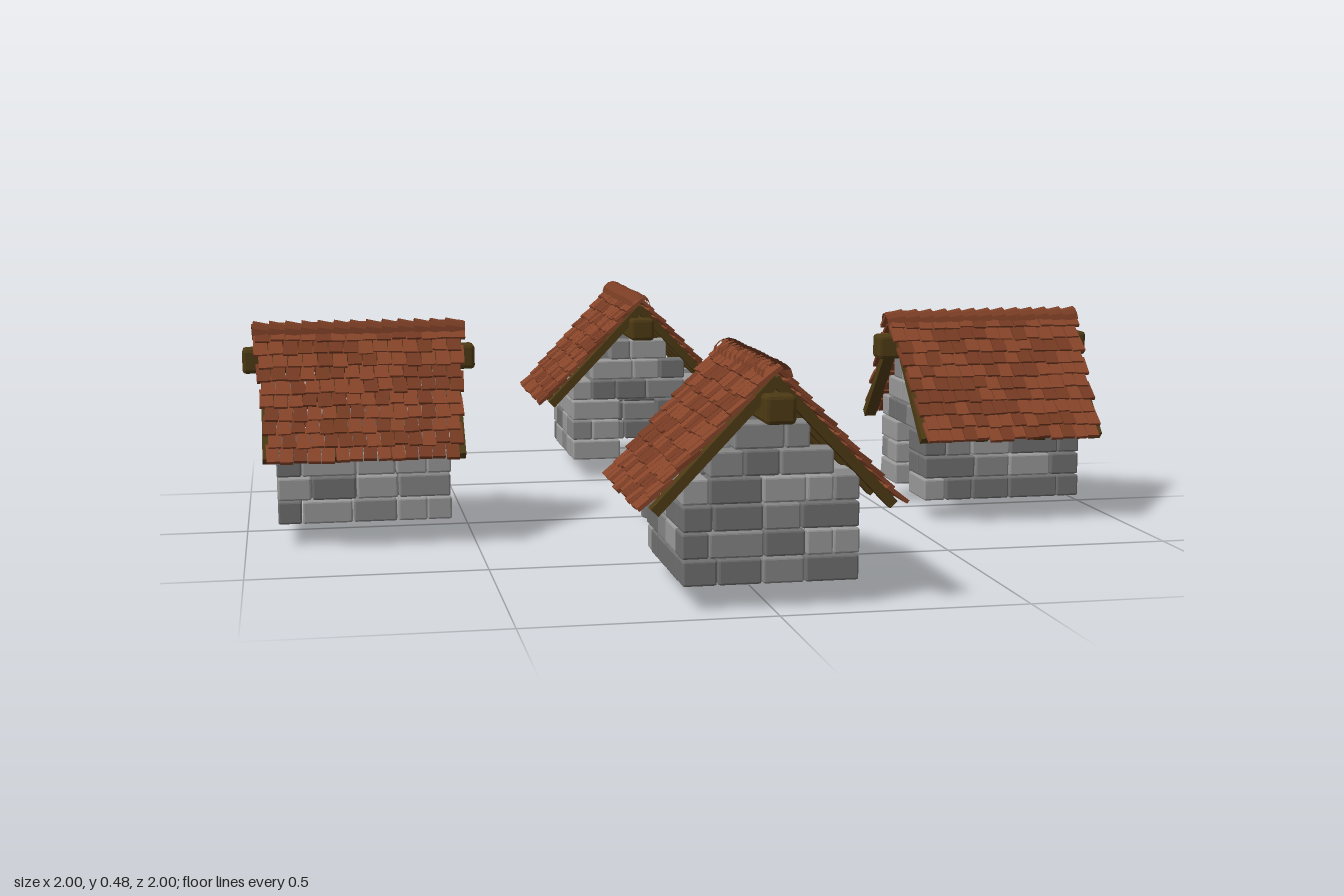
import * as THREE from 'three';
import { mergeGeometries } from 'three/addons/utils/BufferGeometryUtils.js';
import { RoundedBoxGeometry } from 'three/addons/geometries/RoundedBoxGeometry.js';

let seed = 7;
const rnd = () => (seed = (seed * 16807) % 2147483647) / 2147483647;
const jit = (a) => (rnd() * 2 - 1) * a;

const mat = (color, side = THREE.FrontSide) => new THREE.MeshStandardMaterial({ color, side, flatShading: true });
const stones = [mat(0x6f6f70), mat(0x858586), mat(0x9a9a9b)];
const tileMats = [mat(0x87452a), mat(0x763a22)];
const ridgeMat = mat(0x7a3d24, THREE.DoubleSide);
const wood = mat(0x4d3a14);

// Sorts pieces at random into one merged mesh per shade
function addMixed(group, name, pieces, mats) {
  const piles = mats.map(() => []);
  pieces.forEach((p) => piles[Math.floor(rnd() * mats.length)].push(p));
  piles.forEach((pile, i) => {
    if (!pile.length) return;
    const mesh = new THREE.Mesh(mergeGeometries(pile), mats[i]);
    mesh.name = name;
    group.add(mesh);
  });
}

function addMesh(group, name, geometry, material) {
  const mesh = new THREE.Mesh(geometry, material);
  mesh.name = name;
  group.add(mesh);
}

// Walls: x half-width, z half-depth, thickness, base and course height
const HX = 0.175, HZ = 0.19, T = 0.052, BASE = 0.045, ROW = 0.0525;

// Splits a span into stones of uneven length
function course(a, b, offset, place) {
  const n = Math.max(1, Math.round((b - a) / 0.085));
  const step = (b - a) / n;
  const cuts = [a];
  for (let i = 1; i < n; i++) cuts.push(a + step * i + offset * step * 0.25 + jit(0.008));
  cuts.push(b);
  for (let i = 0; i < n; i++) place((cuts[i] + cuts[i + 1]) / 2, cuts[i + 1] - cuts[i] - 0.003);
}

function buildWalls(house) {
  const bricks = [];
  const brick = (w, d, x, y, z) =>
    bricks.push(new RoundedBoxGeometry(w, ROW - 0.003, d, 1, 0.004).translate(x, y, z));
  for (let r = 0; r < 6; r++) {
    const y = BASE + ROW * (r + 0.5), odd = r % 2, off = odd ? 1 : -1;
    const half = r < 4 ? HX - (odd ? T : 0) : r === 4 ? 0.124 : 0.076;
    for (const s of [-1, 1]) {
      // Gable ends, with a doorway in the -z wall
      const spans = s < 0 && r < 3 ? [[-half, -0.048], [0.048, half]] : [[-half, half]];
      for (const [a, b] of spans)
        course(a, b, off, (c, w) => brick(w, T + jit(0.002), c, y, s * (HZ - T / 2)));
      // Side walls, interlocking at the corners
      const hz = odd ? HZ : HZ - T;
      if (r < 4) course(-hz, hz, off, (c, w) => brick(T + jit(0.002), w, s * (HX - T / 2), y, c));
    }
  }
  addMixed(house, 'stoneWalls', bricks, stones);
}

// Roof slope from the ridge down to the eaves
const RIDGE = 0.462, EAVE_X = 0.25, EAVE_Y = 0.2;
const PITCH = Math.atan2(RIDGE - EAVE_Y, EAVE_X);
const SLOPE = Math.hypot(RIDGE - EAVE_Y, EAVE_X);

// Puts a piece on a slope: distance down it, height off it, place along it
function onSlope(geo, down, up, z, side) {
  geo.translate(down, up, z).rotateZ(-PITCH).translate(0, RIDGE, 0);
  return side < 0 ? geo.rotateY(Math.PI) : geo;
}

function buildRoof(house) {
  const tiles = [], rafters = [], rows = 10, cols = 14;
  for (const side of [-1, 1]) {
    for (let r = 0; r < rows; r++) {
      const half = THREE.MathUtils.lerp(0.235, 0.208, r / (rows - 1));
      const w = (2 * half) / cols;
      for (let c = 0; c < cols; c++) {
        const tile = new THREE.BoxGeometry(0.055 + jit(0.005), 0.008, w - 0.002);
        tile.rotateY(jit(0.05)).rotateZ(0.13 + jit(0.03));
        const z = -half + w * (c + 0.5) + (r % 2 ? 0.004 : -0.004);
        tiles.push(onSlope(tile, (SLOPE / rows) * (r + 0.5) + jit(0.003), 0.006, z, side));
      }
    }
    // Rafters under the tiles
    for (const z of [-0.205, -0.07, 0.07, 0.205])
      rafters.push(onSlope(new THREE.BoxGeometry(SLOPE - 0.02, 0.02, 0.028), SLOPE / 2, -0.014, z, side));
  }
  addMixed(house, 'roofTiles', tiles, tileMats);
  addMesh(house, 'rafters', mergeGeometries(rafters), wood);

  // Half-round caps overlapping along the ridge
  const caps = [];
  for (let i = 0; i < 13; i++) {
    const cap = new THREE.CylinderGeometry(0.029, 0.025, 0.044, 6, 1, true, Math.PI / 2, Math.PI);
    caps.push(cap.rotateX(Math.PI / 2 - 0.12).translate(jit(0.002), 0.449, -0.216 + i * 0.036));
  }
  addMesh(house, 'ridgeCaps', mergeGeometries(caps), ridgeMat);

  const beam = new RoundedBoxGeometry(0.06, 0.056, 0.52, 1, 0.008).translate(0, 0.392, 0);
  addMesh(house, 'ridgeBeam', beam, wood);
}

function buildCampfire() {
  const fire = new THREE.Group();
  fire.name = 'campfire';
  // Ring of eight stones
  const ring = [];
  for (let i = 0; i < 8; i++) {
    const stone = new RoundedBoxGeometry(0.058, 0.03, 0.026, 1, 0.004);
    ring.push(stone.translate(0, 0.015, 0.066 + jit(0.002)).rotateY((i * Math.PI) / 4 + Math.PI / 8));
  }
  addMixed(fire, 'fireRingStones', ring, stones);
  // Sticks leaning together
  const sticks = [];
  for (let i = 0; i < 5; i++) {
    const stick = new THREE.CylinderGeometry(0.006, 0.007, 0.085, 6);
    sticks.push(stick.rotateX(-0.6).translate(0, 0.039, 0.02).rotateY(i * 1.257 + jit(0.2)));
  }
  addMesh(fire, 'firewood', mergeGeometries(sticks), wood);
  fire.position.set(-0.008, 0, 0.01);
  return fire;
}

export function createModel() {
  const model = new THREE.Group();
  model.name = 'hamlet';

  const house = new THREE.Group();
  house.name = 'house';
  buildWalls(house);
  buildRoof(house);
  house.position.z = 0.74;

  // Four houses with their doors towards the fire
  for (let i = 0; i < 4; i++) {
    const plot = new THREE.Group();
    plot.name = 'housePlot' + (i + 1);
    plot.add(house.clone());
    plot.rotation.y = (i * Math.PI) / 2;
    model.add(plot);
  }
  model.add(buildCampfire());
  return model;
}
